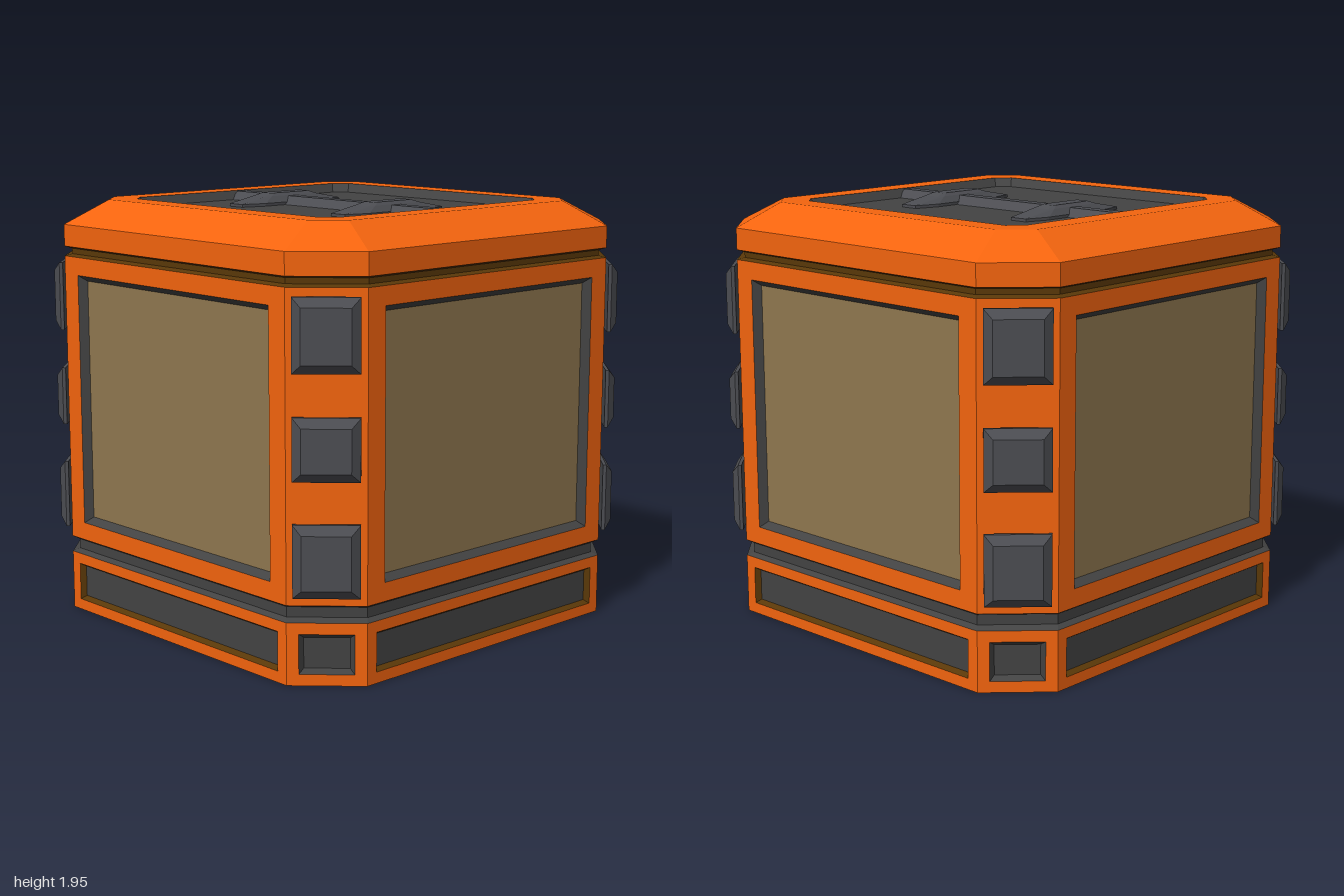
import * as THREE from 'three';

const mat = (color) => new THREE.MeshStandardMaterial({ color, flatShading: true });
const orange = mat(0xf4640e), dark = mat(0x434343), steel = mat(0x4c4d52), tan = mat(0x8f774f), brown = mat(0x5a3808);

// Rectangle of half sizes a, b with corners cut by ca, cb, at height z
function loop(a, b, z, ca = 0, cb = ca) {
  const p = ca === 0
    ? [[a, -b], [a, b], [-a, b], [-a, -b]]
    : [[a, cb - b], [a, b - cb], [a - ca, b], [ca - a, b], [-a, b - cb], [-a, cb - b], [ca - a, -b], [a - ca, -b]];
  return p.map(([x, y]) => [x, y, z]);
}

// Flat-sided skin through loops of equal count, with optional caps
function loft(loops, capStart = false, capEnd = false) {
  const pos = [];
  const tri = (...pts) => pts.forEach((p) => pos.push(...p));
  const n = loops[0].length;
  for (let i = 0; i + 1 < loops.length; i++) {
    for (let j = 0; j < n; j++) {
      const k = (j + 1) % n, A = loops[i], B = loops[i + 1];
      tri(A[j], A[k], B[k]);
      tri(A[j], B[k], B[j]);
    }
  }
  const first = loops[0], last = loops[loops.length - 1];
  for (let j = 1; j + 1 < n; j++) {
    if (capStart) tri(first[0], first[j + 1], first[j]);
    if (capEnd) tri(last[0], last[j], last[j + 1]);
  }
  const g = new THREE.BufferGeometry();
  g.setAttribute('position', new THREE.Float32BufferAttribute(pos, 3));
  g.computeVertexNormals();
  return g;
}

function add(parent, name, geometry, material, x = 0, y = 0, z = 0) {
  const m = new THREE.Mesh(geometry, material);
  m.name = name;
  m.position.set(x, y, z);
  parent.add(m);
  return m;
}

// Loops stacked upwards along y
const stack = (loops, s, e) => loft(loops, s, e).rotateX(-Math.PI / 2);
const oct = (half, y, cut = 0.24) => loop(half, half, y, cut);

// Framed wall panel: flat border, sloped rim and sunken floor
function panel(parent, name, y0, y1, hw, holeW, h0, h1, rim, depth, rimMat, floorMat) {
  const cy = (y0 + y1) / 2, hh = (y1 - y0) / 2, holeH = (h1 - h0) / 2;
  const hole = loop(holeW, holeH, 0), floor = loop(holeW - rim, holeH - rim, -depth);
  add(parent, name + 'Border', loft([loop(hw, hh, 0), hole]), orange, 0, cy);
  add(parent, name + 'Rim', loft([hole, floor]), rimMat, 0, cy);
  add(parent, name + 'Floor', loft([floor], false, true), floorMat, 0, cy);
}

export function createModel() {
  const model = new THREE.Group();
  model.name = 'crate';

  // Underside and the two grooves
  add(model, 'underside', stack([oct(1, 0)], true), brown);
  const groove = (name, y0, y1, bevel, material) => add(model, name, stack([
    oct(1, y0), oct(0.975, y0 + bevel), oct(0.975, y1 - bevel), oct(1, y1)]), material);
  groove('lowerGroove', 0.275, 0.35, 0.015, dark);
  groove('upperGroove', 1.685, 1.73, 0.01, brown);

  // Four walls and four cut corners
  for (let i = 0; i < 8; i++) {
    const side = new THREE.Group();
    const corner = i % 2 === 1;
    side.name = corner ? 'corner' : 'wall';
    side.rotation.y = i * Math.PI / 4;
    const face = new THREE.Group();
    face.name = side.name + 'Face';
    face.position.z = corner ? 1.76 / Math.SQRT2 : 1;
    side.add(face);
    model.add(side);
    if (!corner) {
      panel(face, 'base', 0, 0.275, 0.76, 0.705, 0.05, 0.225, 0.015, 0.025, brown, dark);
      panel(face, 'window', 0.35, 1.685, 0.76, 0.66, 0.43, 1.6, 0.027, 0.035, dark, tan);
      continue;
    }
    const w = 0.24 / Math.SQRT2;
    panel(face, 'cornerBase', 0, 0.275, w, 0.118, 0.05, 0.225, 0.02, 0.025, dark, dark);
    add(face, 'cornerPost', loft([loop(w, 0.6675, 0)], false, true), orange, 0, 1.0175);
    // Bumper blocks
    for (const [y0, y1] of [[0.39, 0.705], [0.885, 1.155], [1.335, 1.65]]) {
      const h = (y1 - y0) / 2;
      add(face, 'bumper', loft([
        loop(0.142, h, 0.016), loop(0.142, h, 0.032), loop(0.104, h - 0.04, 0.062)], true, true),
      steel, 0, (y0 + y1) / 2);
    }
  }

  // Lid with a sunken top
  add(model, 'lid', stack([
    oct(1, 1.73), oct(1, 1.83), oct(0.8, 1.937, 0.12), oct(0.68, 1.937, 0.06)]), orange);
  add(model, 'lidPanel', stack([
    oct(0.68, 1.937, 0.06), oct(0.655, 1.895, 0.055)], false, true), dark);

  // Handle bar and its two brackets
  const bar = new THREE.CylinderGeometry(0.075, 0.075, 1.34, 8).rotateY(Math.PI / 8).rotateX(Math.PI / 2);
  add(model, 'handleBar', bar, steel, 0, 1.865, 0);
  for (const z of [-0.35, 0.345]) {
    add(model, 'handleBracket', stack([
      loop(0.31, 0.075, 1.88, 0.12, 0.03),
      loop(0.31, 0.075, 1.908, 0.12, 0.03),
      loop(0.16, 0.052, 1.937, 0.03, 0.01),
      loop(0.12, 0.036, 1.95, 0.02, 0.008)], true, true), steel, 0, 0, z);
  }
  return model;
}
